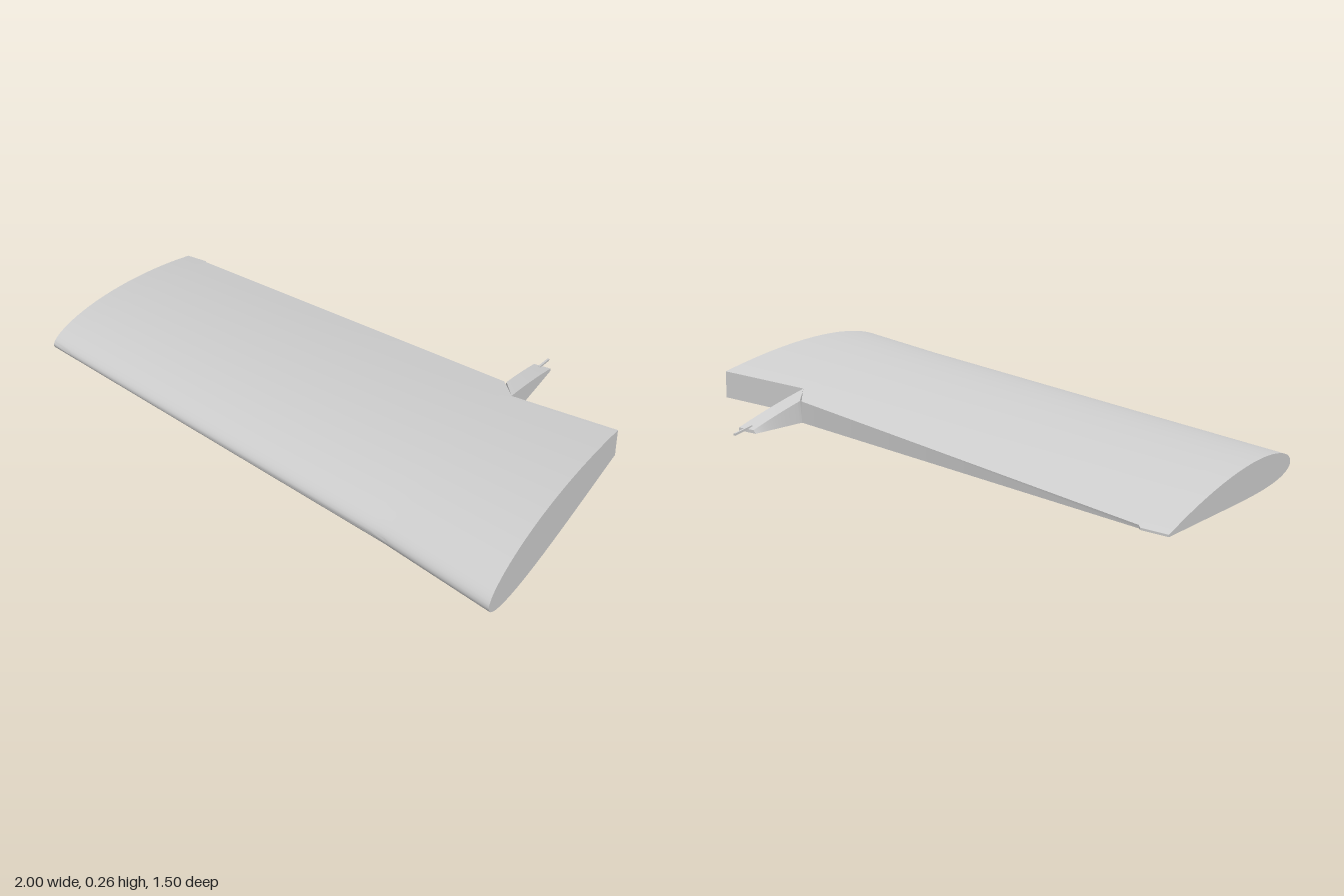
import * as THREE from 'three';
import { toCreasedNormals } from 'three/addons/utils/BufferGeometryUtils.js';

const STEPS = 22;

// Wing planform: leading edge with a slight kink, straight full trailing edge, dihedral
const leadZ = (x) => 0.605 + (x - 0.6) * (x > 0.6 ? 0.3625 : 0.316);
const trailZ = (x) => -0.645 + x * 0.11;
const leadY = (x) => 0.123 + x * 0.047;
const scaleY = (x) => 1.285 * (0.81 + 0.19 * x);

// Airfoil height at chord fraction t; side is +1 for the top and -1 for the underside
function airfoil(t, side) {
  const half = 0.6225 * (0.2969 * Math.sqrt(t) - 0.126 * t - 0.3516 * t ** 2 + 0.2843 * t ** 3 - 0.1036 * t ** 4);
  return 0.0504 * t - 0.0814 * t * t + side * (half + 0.004 * t);
}

// Closed loop: top from rear to front, then underside from front to rear
function section({ x, topX = x, front = leadZ(x), rear }) {
  const chord = leadZ(x) - trailZ(x);
  const toT = (z) => THREE.MathUtils.clamp((leadZ(x) - z) / chord, 0, 1);
  const t0 = toT(front), t1 = toT(rear);
  const point = (k, side) => {
    const t = t0 + (t1 - t0) * (k / STEPS) ** 2;
    return [side > 0 ? topX : x, leadY(x) + airfoil(t, side) * scaleY(x), leadZ(x) - t * chord];
  };
  const loop = [];
  for (let k = STEPS; k >= 0; k--) loop.push(point(k, 1));
  for (let k = 0; k <= STEPS; k++) loop.push(point(k, -1));
  return loop;
}

// Solid lofted through sections ordered from +x to -x, closed at both ends
function loft(stations) {
  const n = 2 * (STEPS + 1), last = (stations.length - 1) * n, index = [];
  for (let i = 0; i < stations.length - 1; i++) {
    for (let j = 0; j < n; j++) {
      const a = i * n + j, b = i * n + ((j + 1) % n);
      index.push(a, a + n, b, b, a + n, b + n);
    }
  }
  for (let j = 0; j < STEPS; j++) {
    const a = j, b = j + 1, c = n - 2 - j, d = n - 1 - j;
    index.push(a, b, c, a, c, d);
    index.push(last + a, last + c, last + b, last + a, last + d, last + c);
  }
  const geometry = new THREE.BufferGeometry();
  geometry.setAttribute('position', new THREE.Float32BufferAttribute(stations.flatMap(section).flat(), 3));
  geometry.setIndex(index);
  return toCreasedNormals(geometry, 0.65);
}

function wire(points, radius) {
  const path = new THREE.CurvePath();
  const v = points.map((p) => new THREE.Vector3(...p));
  for (let i = 0; i < v.length - 1; i++) path.add(new THREE.LineCurve3(v[i], v[i + 1]));
  return new THREE.TubeGeometry(path, 16, radius, 6);
}

export function createModel() {
  const model = new THREE.Group();
  model.name = 'wingPanel';
  const paint = new THREE.MeshStandardMaterial({ color: 0xd0d0d0 });
  paint.name = 'light grey';
  const add = (name, geometry) => {
    const mesh = new THREE.Mesh(geometry, paint);
    mesh.name = name;
    model.add(mesh);
    return mesh;
  };

  // Main wing, cut off ahead of its trailing edge where control surfaces would sit
  add('wing', loft([
    { x: 1, rear: -0.2 },
    { x: 0.62, rear: -0.24 },
    { x: 0.6, rear: -0.27 },
    { x: 0.55, rear: -0.34 },
    { x: -0.9, rear: -0.733 },
    { x: -0.91, rear: -0.745 },
    { x: -1, rear: -0.755 },
  ]));

  // Fixed trailing edge piece between the two cut-outs
  add('trailingBracket', loft([
    { x: 0.62, front: -0.24, rear: -0.576 },
    { x: 0.55, topX: 0.558, front: -0.34, rear: -0.578 },
  ]));

  // Thin spike behind the bracket
  const spike = add('trailingSpike', new THREE.BoxGeometry(0.007, 0.007, 0.085));
  spike.position.set(0.585, 0.119, -0.598);
  spike.rotation.x = -0.15;

  // Small wire hooks under the tip
  [[-0.285, 0.003], [-0.345, 0.014], [-0.47, 0.026]].forEach(([z, low], i) => {
    add('underHook' + (i + 1), wire([
      [-0.84, 0.04, z], [-0.83, 0.033, z], [-0.77, 0.035, z], [-0.75, low, z], [-0.735, low + 0.005, z],
    ], 0.003));
  });

  return model;
}
